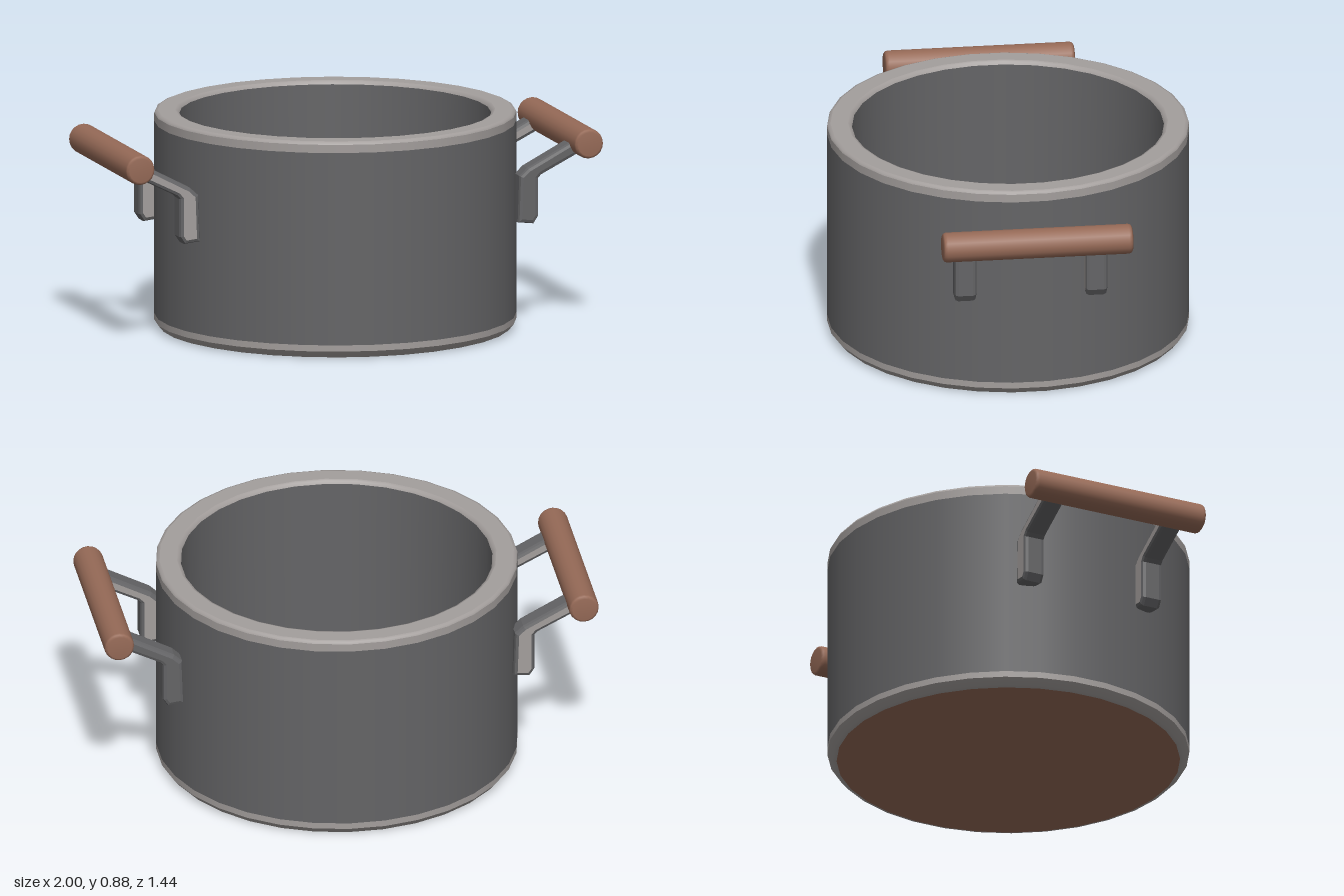
import * as THREE from 'three';

const mat = (name, color) => {
  const m = new THREE.MeshStandardMaterial({ color });
  m.name = name;
  return m;
};

export function createModel() {
  const dark = mat('dark grey metal', 0x646466);
  const light = mat('light grey metal', 0xa39e9c);
  const brown = mat('brown wood', 0x966a57);

  const model = new THREE.Group();
  model.name = 'cookingPot';

  const add = (parent, name, geometry, material) => {
    const mesh = new THREE.Mesh(geometry, material);
    mesh.name = name;
    parent.add(mesh);
    return mesh;
  };

  // Turned parts: each smooth run of the profile is its own lathe, so edges stay sharp
  const pot = new THREE.Group();
  pot.name = 'pot';
  pot.position.x = -0.003;
  model.add(pot);
  const turn = (name, points, material) => {
    const profile = points.map(([r, y]) => new THREE.Vector2(r, y));
    add(pot, name, new THREE.LatheGeometry(profile, 32, Math.PI / 32), material);
  };
  turn('base', [[0, 0], [0.685, 0]], brown);
  turn('baseChamfer', [[0.685, 0], [0.7, 0.004], [0.722, 0.03]], light);
  turn('baseBand', [[0.722, 0.03], [0.722, 0.055]], light);
  turn('outerWall', [[0.722, 0.055], [0.722, 0.835]], dark);
  turn('rimBand', [[0.722, 0.835], [0.722, 0.868]], light);
  turn('rimEdge', [[0.722, 0.868], [0.718, 0.876], [0.708, 0.88]], light);
  turn('rimTop', [[0.708, 0.88], [0.638, 0.88]], light);
  turn('rimInnerEdge', [[0.638, 0.88], [0.628, 0.876], [0.622, 0.865]], light);
  turn('innerWall', [[0.622, 0.865], [0.608, 0.07]], dark);
  turn('floor', [[0.608, 0.07], [0, 0.07]], dark);

  // Bent bracket profile: upright pad and slanted arm, extruded along z
  const bevel = 0.015;
  const profile = new THREE.Shape([
    [0.682, 0.447], [0.725, 0.442], [0.737, 0.46], [0.737, 0.615], [0.755, 0.635],
    [0.93, 0.722], [0.915, 0.745], [0.715, 0.64], [0.688, 0.615],
  ].map(([x, y]) => new THREE.Vector2(x, y)));
  const width = 0.088;
  const bracketGeometry = new THREE.ExtrudeGeometry(profile, {
    depth: width - 2 * bevel, bevelEnabled: true, bevelSize: bevel,
    bevelThickness: bevel, bevelSegments: 2, steps: 1,
  });
  bracketGeometry.translate(0, 0, -width / 2 + bevel);
  // Groups: back cheek, front cheek, edges
  const [cheeks, edges] = bracketGeometry.groups.map((g) => ({ ...g }));
  bracketGeometry.clearGroups();
  bracketGeometry.addGroup(cheeks.start, cheeks.count / 2, 0);
  bracketGeometry.addGroup(cheeks.start + cheeks.count / 2, cheeks.count / 2, 1);
  bracketGeometry.addGroup(edges.start, edges.count, 2);

  // Round grip bar with softened ends
  const gripGeometry = new THREE.LatheGeometry([
    [0, -0.381], [0.048, -0.381], [0.057, -0.375], [0.06, -0.365],
    [0.06, 0.365], [0.057, 0.375], [0.048, 0.381], [0, 0.381],
  ].map(([r, y]) => new THREE.Vector2(r, y)), 20);
  gripGeometry.rotateX(Math.PI / 2);

  for (const side of [1, -1]) {
    const handle = new THREE.Group();
    handle.name = side > 0 ? 'leftHandle' : 'rightHandle';
    handle.rotation.y = side > 0 ? 0 : Math.PI;
    model.add(handle);

    add(handle, 'grip', gripGeometry, brown).position.set(0.94, 0.75, 0);
    for (const z of [0.263, -0.263]) {
      // Left brackets are light on their inner cheeks, right ones on both
      const back = side < 0 || z > 0 ? light : dark;
      const front = side < 0 || z < 0 ? light : dark;
      add(handle, 'bracket', bracketGeometry, [back, front, dark]).position.z = z;
    }
  }
  return model;
}
